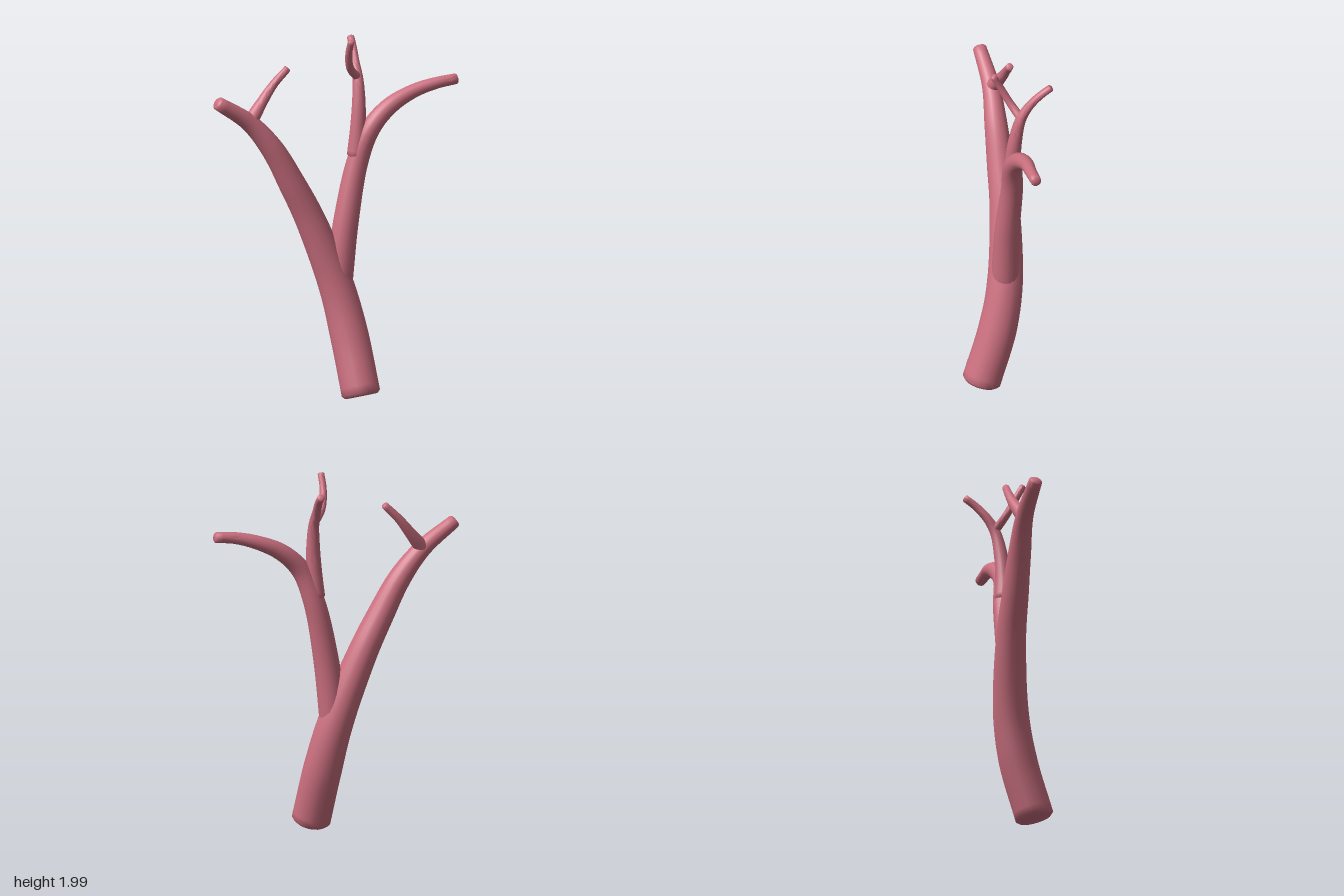
import * as THREE from 'three';
import { toCreasedNormals } from 'three/addons/utils/BufferGeometryUtils.js';

const SIDES = 20;

// Tapered limb along a smooth path; each point is [x, y, z, radius].
function limbGeometry(points, steps) {
  const curve = new THREE.CatmullRomCurve3(points.map(([x, y, z]) => new THREE.Vector3(x, y, z)));
  const frames = curve.computeFrenetFrames(steps);
  const last = points.length - 1;
  const radiusAt = (u) => {
    const s = curve.getUtoTmapping(u) * last;
    const k = Math.min(Math.floor(s), last - 1);
    return THREE.MathUtils.lerp(points[k][3], points[k + 1][3], s - k);
  };
  const position = [];
  const index = [];
  const addRing = (i, scale, shift) => {
    const u = i / steps;
    const r = radiusAt(u);
    const centre = curve.getPointAt(u).addScaledVector(frames.tangents[i], shift * r);
    for (let j = 0; j < SIDES; j++) {
      const a = (j / SIDES) * Math.PI * 2;
      const p = centre.clone()
        .addScaledVector(frames.normals[i], Math.cos(a) * r * scale)
        .addScaledVector(frames.binormals[i], Math.sin(a) * r * scale);
      position.push(p.x, p.y, p.z);
    }
    return centre;
  };

  // Softly rounded ends around the main run of rings
  const start = addRing(0, 0.84, -0.15);
  for (let i = 0; i <= steps; i++) addRing(i, 1, 0);
  const end = addRing(steps, 0.8, 0.2);
  const rings = steps + 3;
  position.push(start.x, start.y, start.z, end.x, end.y, end.z);

  for (let i = 0; i < rings - 1; i++) {
    for (let j = 0; j < SIDES; j++) {
      const k = (j + 1) % SIDES;
      const a = i * SIDES + j, b = i * SIDES + k;
      index.push(a, b, a + SIDES, b, b + SIDES, a + SIDES);
    }
  }
  // End caps
  const top = (rings - 1) * SIDES;
  for (let j = 0; j < SIDES; j++) {
    const k = (j + 1) % SIDES;
    index.push(rings * SIDES, k, j, rings * SIDES + 1, top + j, top + k);
  }
  const geometry = new THREE.BufferGeometry();
  geometry.setAttribute('position', new THREE.Float32BufferAttribute(position, 3));
  geometry.setIndex(index);
  return toCreasedNormals(geometry, 1.0);
}

export function createModel() {
  const group = new THREE.Group();
  const bark = new THREE.MeshStandardMaterial({ color: 0xcc7080 });

  const addLimb = (name, steps, points) => {
    const mesh = new THREE.Mesh(limbGeometry(points, steps), bark);
    mesh.name = name;
    group.add(mesh);
  };

  // Trunk sweeping up into the front limb
  addLimb('trunk', 48, [
    [0.183, 0.05, -0.002, 0.106],
    [0.08, 0.36, -0.016, 0.105],
    [0.01, 0.62, 0.01, 0.097],
    [-0.08, 1.0, 0.125, 0.081],
    [-0.125, 1.2, 0.215, 0.073],
    [-0.175, 1.4, 0.315, 0.062],
    [-0.235, 1.555, 0.43, 0.048],
    [-0.3, 1.683, 0.605, 0.037],
  ]);

  // Rear limb curling backward
  addLimb('rearBranch', 40, [
    [0.018, 0.635, 0, 0.076],
    [0.036, 0.98, -0.04, 0.069],
    [0.057, 1.3, -0.107, 0.059],
    [0.1, 1.48, -0.165, 0.053],
    [0.14, 1.59, -0.27, 0.047],
    [0.195, 1.66, -0.4, 0.038],
    [0.257, 1.695, -0.51, 0.032],
    [0.305, 1.708, -0.612, 0.029],
  ]);

  // Upright limb forking from the rear limb
  addLimb('upperBranch', 28, [
    [0.053, 1.335, -0.102, 0.052],
    [0.055, 1.47, -0.11, 0.043],
    [0.048, 1.62, -0.125, 0.037],
    [0.025, 1.745, -0.142, 0.029],
    [-0.015, 1.822, -0.162, 0.024],
    [-0.065, 1.89, -0.197, 0.021],
    [-0.113, 1.935, -0.228, 0.02],
  ]);

  // Small twigs
  addLimb('topTwig', 18, [
    [0.022, 1.745, -0.15, 0.024],
    [0.038, 1.815, -0.07, 0.021],
    [0.07, 1.908, -0.025, 0.019],
    [0.106, 1.988, -0.006, 0.018],
  ]);
  addLimb('frontTwig', 18, [
    [-0.237, 1.56, 0.42, 0.041],
    [-0.228, 1.66, 0.335, 0.03],
    [-0.21, 1.745, 0.268, 0.023],
    [-0.175, 1.825, 0.197, 0.02],
  ]);

  return group;
}
